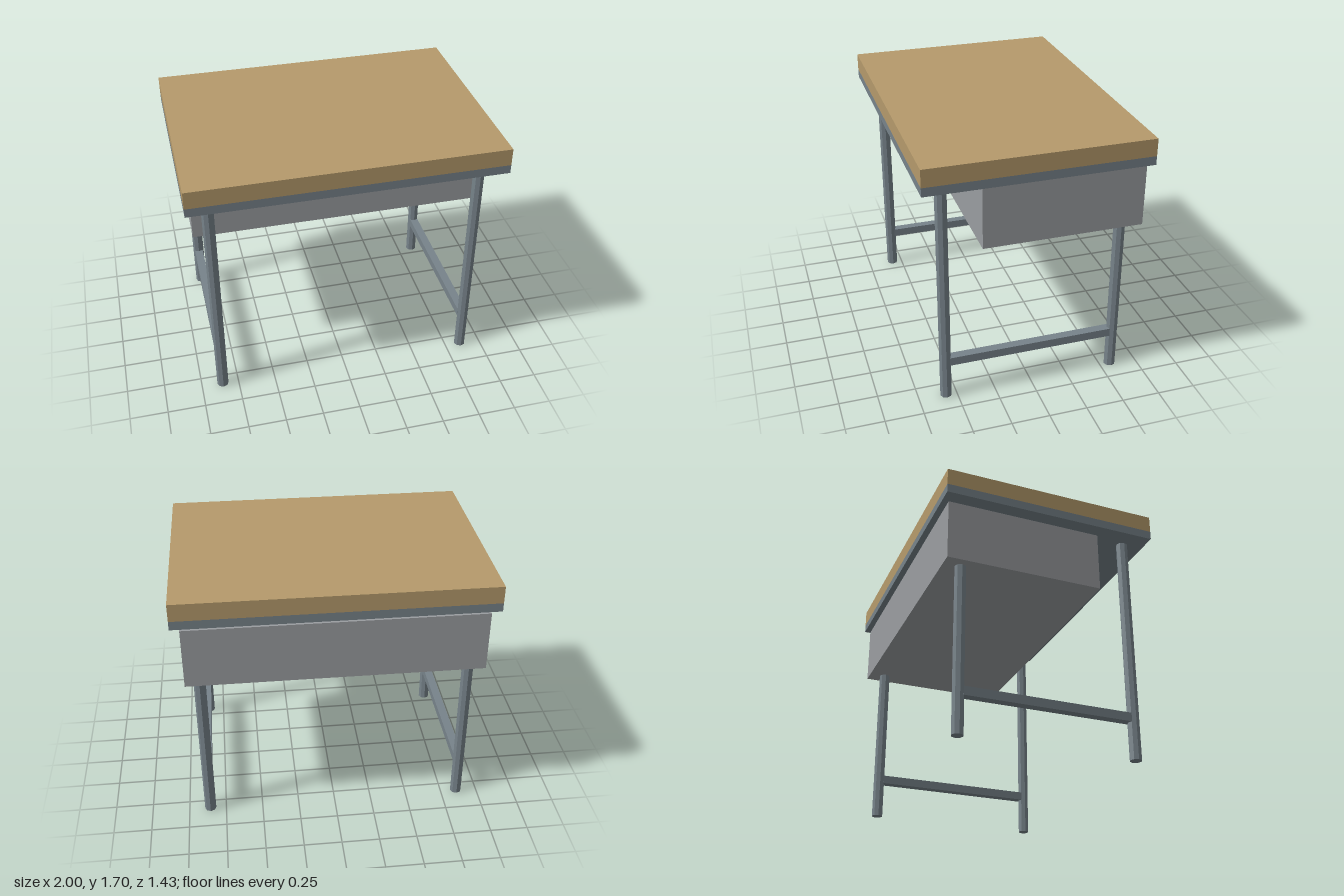
import * as THREE from 'three';

const material = (color) => new THREE.MeshStandardMaterial({ color, flatShading: true });

export function createModel() {
  const desk = new THREE.Group();
  desk.name = 'desk';
  const wood = material(0xb59a6b);
  const steel = material(0x77838a);
  const paint = material(0x9a9da0);

  const add = (name, geometry, mat, x, y, z) => {
    const mesh = new THREE.Mesh(geometry, mat);
    mesh.name = name;
    mesh.position.set(x, y, z);
    desk.add(mesh);
  };

  // Wooden top resting on a steel frame plate
  const width = 2, depth = 1.428;
  const height = 1.7, plateTop = 1.587, plateBottom = 1.53;
  add('woodenTop', new THREE.BoxGeometry(width, height - plateTop, depth), wood,
    0, (height + plateTop) / 2, 0);
  add('framePlate', new THREE.BoxGeometry(width, plateTop - plateBottom, depth), steel,
    0, (plateTop + plateBottom) / 2, 0);

  // Storage box, set towards the back with a small gap under the plate
  add('storageBox', new THREE.BoxGeometry(1.886, 0.4, 1.028), paint, 0, 1.302, -0.171);

  // Octagonal legs, joined front to back by a stretcher on each side
  const legX = 0.857, legZ = 0.571;
  const legGeometry = new THREE.CylinderGeometry(0.038, 0.038, plateBottom, 8);
  const stretcherGeometry = new THREE.BoxGeometry(0.057, 0.057, legZ * 2 - 0.05);
  for (const [side, sx] of [['left', 1], ['right', -1]]) {
    for (const [end, sz] of [['Front', 1], ['Back', -1]]) {
      add(`${side}${end}Leg`, legGeometry, steel, sx * legX, plateBottom / 2, sz * legZ);
    }
    add(`${side}Stretcher`, stretcherGeometry, steel, sx * legX, 0.272, 0);
  }
  return desk;
}
